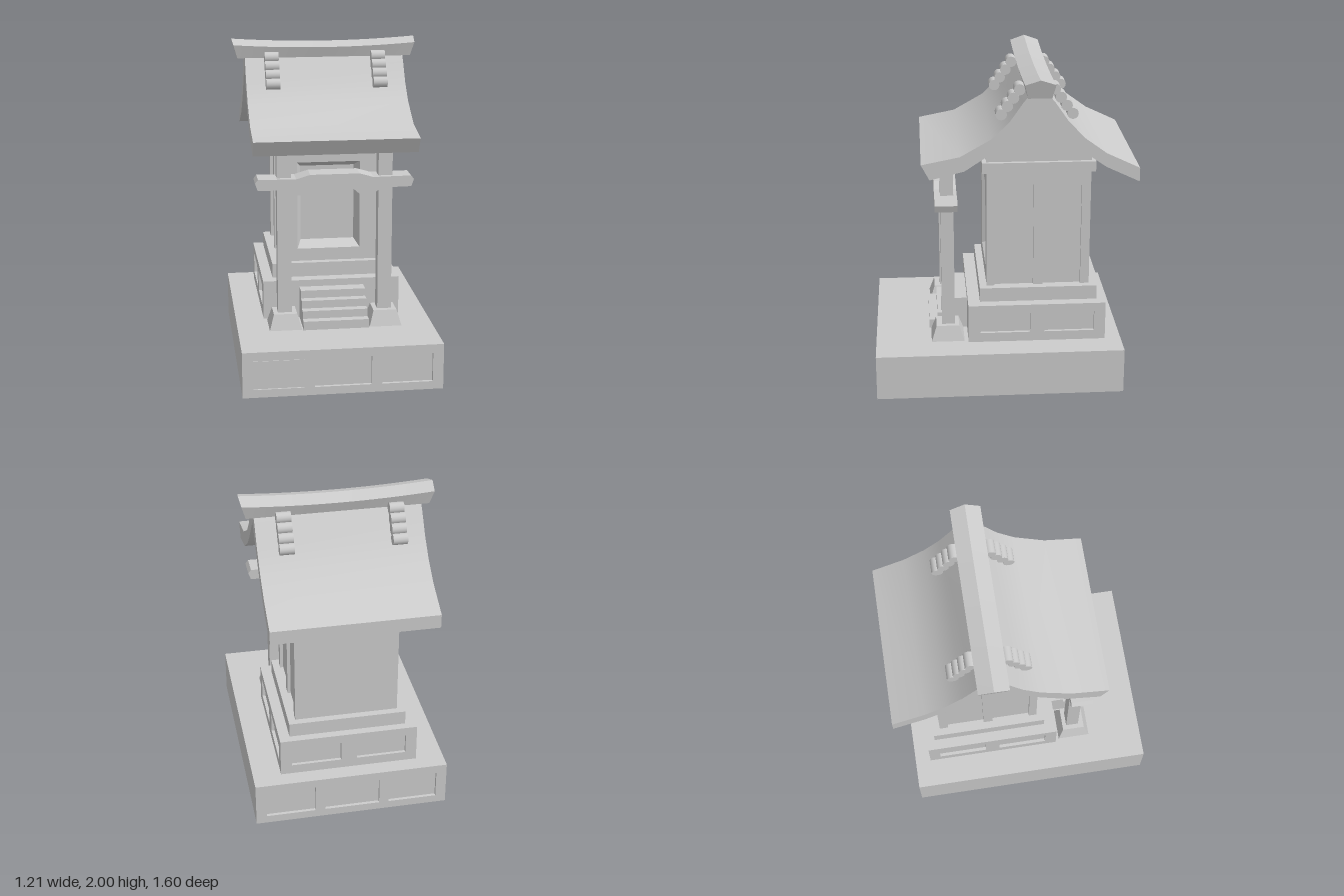
import * as THREE from 'three';
import { toCreasedNormals } from 'three/addons/utils/BufferGeometryUtils.js';

const grey = new THREE.MeshStandardMaterial({ color: 0xcccccc });
const inner = new THREE.MeshStandardMaterial({ color: 0xcccccc, flatShading: true, side: THREE.DoubleSide });
const v2 = ([x, y]) => new THREE.Vector2(x, y);

export function createModel() {
  const model = new THREE.Group();
  const add = (name, geo, mat = grey) => {
    const mesh = new THREE.Mesh(geo, mat);
    mesh.name = name;
    model.add(mesh);
    return mesh;
  };
  // Box given by its limits on each axis
  const box = (name, x0, x1, y0, y1, z0, z1) =>
    add(name, new THREE.BoxGeometry(x1 - x0, y1 - y0, z1 - z0)
      .translate((x0 + x1) / 2, (y0 + y1) / 2, (z0 + z1) / 2));
  const rect = ([x0, x1, y0, y1]) => [[x0, y0], [x1, y0], [x1, y1], [x0, y1]].map(v2);
  // Upright plate with rectangular openings, from z = 0 to z = depth
  const plate = (outer, holes, depth) => {
    const shape = new THREE.Shape(rect(outer));
    shape.holes = holes.map((h) => new THREE.Path(rect(h)));
    return new THREE.ExtrudeGeometry(shape, { depth, bevelEnabled: false });
  };
  // Side profile of [z, y] points carried across the full width
  const across = (points, width, steps = 1) =>
    new THREE.ExtrudeGeometry(new THREE.Shape(points.map(([z, y]) => v2([-z, y]))),
      { depth: width, steps, bevelEnabled: false })
      .translate(0, 0, -width / 2).rotateY(Math.PI / 2);

  // Ground plinth with three sunk panels at front and back
  const d = 0.02;
  box('plinthCore', -0.605, 0.605, 0, 0.285, -0.73 + d, 0.8 - d);
  const plinthPanels = [[-0.54, -0.235, 0.05, 0.23], [-0.175, 0.17, 0.05, 0.23], [0.23, 0.54, 0.05, 0.23]];
  for (const [name, z] of [['plinthFront', 0.8 - d], ['plinthBack', -0.73]])
    add(name, plate([-0.605, 0.605, 0, 0.285], plinthPanels, d).translate(0, 0, z));
  box('shallowPlinthPanel', -0.54, -0.235, 0.053, 0.227, 0.775, 0.797);

  // Upper plinth with two sunk panels on the sides and back
  box('upperPlinthCore', -0.43 + d, 0.43 - d, 0.285, 0.53, -0.63 + d, 0.225);
  for (const x of [0.43 - d, -0.43])
    add('upperPlinthSide', plate([-0.225, 0.63, 0.285, 0.53],
      [[-0.15, 0.16, 0.345, 0.475], [0.25, 0.56, 0.345, 0.475]], d)
      .rotateY(Math.PI / 2).translate(x, 0, 0));
  add('upperPlinthBack', plate([-0.43 + d, 0.43 - d, 0.285, 0.53],
    [[-0.36, -0.05, 0.345, 0.475], [0.05, 0.36, 0.345, 0.475]], d).translate(0, 0, -0.63));
  box('sillCourse', -0.365, 0.365, 0.53, 0.62, -0.58, 0.15);

  // Hall: core, panelled side walls, front wall with a splayed doorway
  const door = 0.08;
  box('hallCore', -0.3, 0.3, 0.6, 1.4, -0.535, 0.105 - door);
  for (const x of [0.3, -0.32])
    add('hallSideWall', plate([-0.105, 0.535, 0.6, 1.4],
      [[-0.055, 0.185, 0.61, 1.28], [0.245, 0.48, 0.61, 1.28]], d)
      .rotateY(Math.PI / 2).translate(x, 0, 0));
  add('hallFrontWall', plate([-0.3, 0.3, 0.6, 1.4], [[-0.2, 0.195, 0.7, 1.26]], door)
    .translate(0, 0, 0.105 - door));
  add('doorwaySplay', new THREE.CylinderGeometry(Math.SQRT2, 0.86 * Math.SQRT2, door, 4, 1, true)
    .rotateY(Math.PI / 4).rotateX(Math.PI / 2).scale(0.1975, 0.28, 1)
    .translate(-0.0025, 0.98, 0.105 - door / 2), inner);
  box('cornice', -0.345, 0.345, 1.365, 1.43, -0.56, 0.132);
  add('gable', across([[0.105, 1.42], [0.105, 1.55], [-0.02, 1.66], [-0.195, 1.85],
    [-0.375, 1.65], [-0.535, 1.52], [-0.535, 1.42]], 0.64));

  // Curved roof, long slope at the back
  const roofTop = [[0.5, 1.48], [0.27, 1.525], [0.085, 1.63], [-0.02, 1.73], [-0.1, 1.845], [-0.195, 1.96],
    [-0.29, 1.845], [-0.37, 1.73], [-0.47, 1.625], [-0.6, 1.53], [-0.8, 1.435]];
  const roofUnder = [[-0.8, 1.35], [-0.6, 1.445], [-0.5, 1.515], [-0.375, 1.625], [-0.195, 1.828],
    [-0.02, 1.635], [0.085, 1.54], [0.245, 1.435], [0.45, 1.385]];
  add('roof', toCreasedNormals(across([...roofTop, ...roofUnder], 1), 0.5));

  // Ridge beam: ends flare outwards and the top sags towards the middle
  const ridge = across([[-0.125, 1.885], [-0.105, 1.97], [-0.195, 2], [-0.285, 1.97], [-0.265, 1.885]], 2, 16);
  const p = ridge.attributes.position;
  for (let i = 0; i < p.count; i++) {
    const t = p.getX(i), lift = (p.getY(i) - 1.885) / 0.115;
    p.setX(i, t * (0.547 + 0.033 * lift));
    p.setY(i, p.getY(i) - 0.022 * Math.min(1, lift * 1.3) * (1 - t * t));
  }
  ridge.computeVertexNormals();
  add('ridgeBeam', toCreasedNormals(ridge, 0.3));

  // Rolls of tile running down both slopes under the ridge
  for (const x of [-0.337, 0.333])
    for (const side of [1, -1])
      for (let i = 0; i < 4; i++)
        add('tileRoll', new THREE.CylinderGeometry(0.034, 0.034, 0.087, 16).rotateZ(Math.PI / 2)
          .translate(x, 1.742 + 0.05 * i, -0.195 + side * (0.213 - 0.036 * i)));

  // Porch posts on tapered footings
  for (const x of [-0.31, 0.31]) {
    box('porchPost', x - 0.043, x + 0.043, 0.37, 1.42, 0.307, 0.387);
    const foot = new THREE.BoxGeometry(0.2, 0.095, 0.205);
    const q = foot.attributes.position;
    for (let i = 0; i < q.count; i++)
      if (q.getY(i) > 0) q.setXYZ(i, q.getX(i) * 0.72, q.getY(i), q.getZ(i) * 0.69);
    foot.computeVertexNormals();
    add('postFooting', foot.translate(x, 0.3325, 0.352));
  }

  // Porch crossbeam, mirrored from half an outline
  const half = [[0.15, 1.257], [0.235, 1.232], [0.465, 1.235], [0.483, 1.212], [0.467, 1.168],
    [0.285, 1.165], [0.238, 1.132], [0.147, 1.132], [0.11, 1.165]];
  const outline = [...half, ...half.map(([x, y]) => [-x, y]).reverse()].map(v2);
  add('porchBeam', new THREE.ExtrudeGeometry(new THREE.Shape(outline), { depth: 0.137, bevelEnabled: false })
    .translate(-0.004, 0, 0.286));

  // Stair of four steps
  add('stair', across([[0.2, 0.28], [0.465, 0.28], [0.465, 0.34], [0.412, 0.34], [0.412, 0.389], [0.36, 0.389],
    [0.36, 0.438], [0.307, 0.438], [0.307, 0.487], [0.2, 0.487]], 0.405));

  return model;
}
